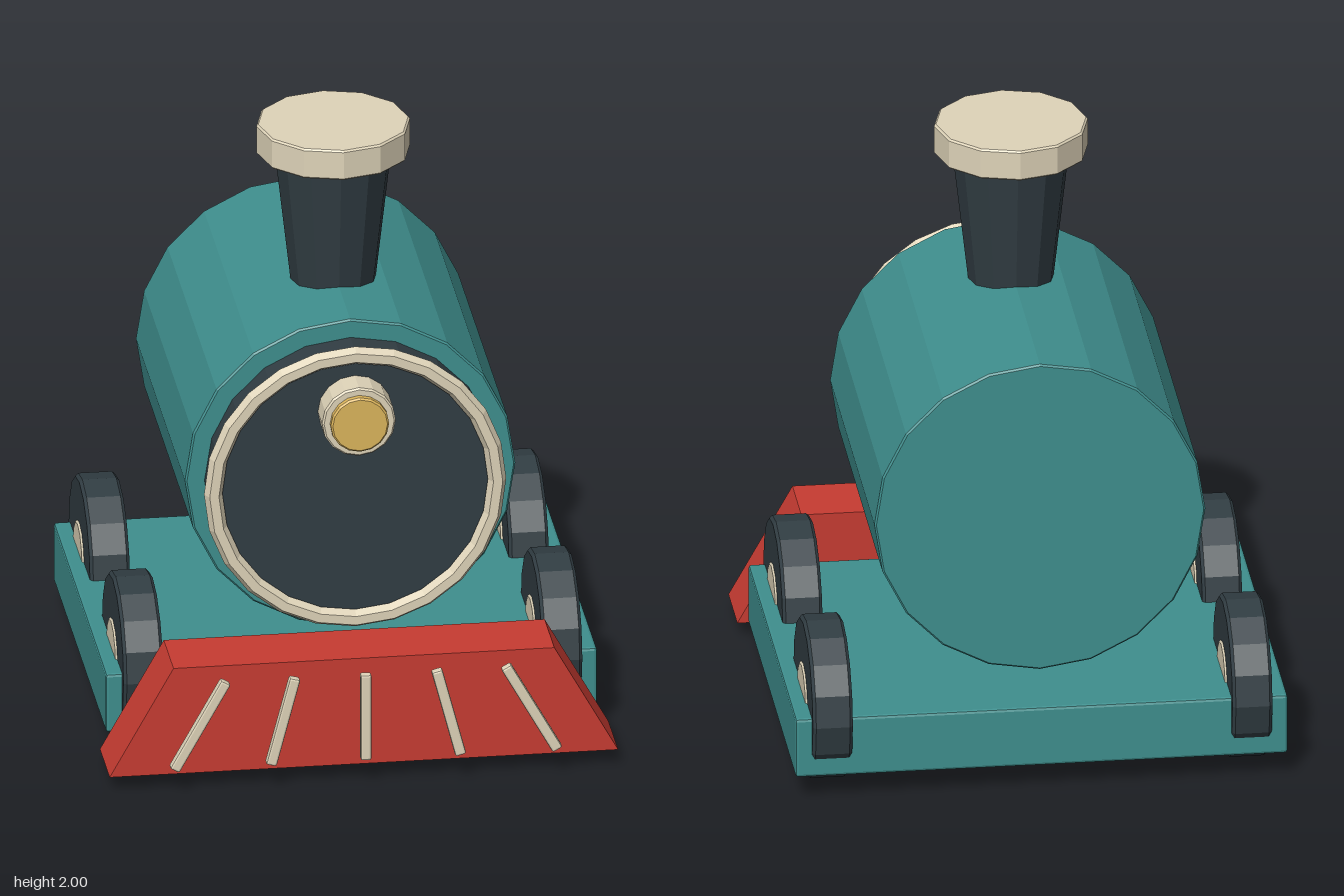
import * as THREE from 'three';
import { RoundedBoxGeometry } from 'three/addons/geometries/RoundedBoxGeometry.js';

const material = (color) => new THREE.MeshStandardMaterial({ color, flatShading: true });

// Faceted drum along y with chamfered rims, centred on its length
function drum(rBottom, rTop, length, sides, bevel = 0.006) {
  const h = length / 2;
  const profile = [
    [0, -h], [rBottom - bevel, -h], [rBottom, -h + bevel],
    [rTop, h - bevel], [rTop - bevel, h], [0, h],
  ].map(([x, y]) => new THREE.Vector2(x, y));
  return new THREE.LatheGeometry(profile, sides);
}

export function createModel() {
  const model = new THREE.Group();
  model.name = 'toyLocomotive';

  const teal = material(0x3f8f8e);
  const dark = material(0x313d43);
  const cream = material(0xdfd4b9);
  const gold = material(0xdcb55c);
  const red = material(0xc83c32);

  const add = (name, geometry, mat, x, y, z, parent = model) => {
    const mesh = new THREE.Mesh(geometry, mat);
    mesh.name = name;
    mesh.position.set(x, y, z);
    parent.add(mesh);
    return mesh;
  };

  // Drum lying along z between two depths
  const addAlongZ = (name, radius, z0, z1, sides, mat, y) =>
    add(name, drum(radius, radius, z1 - z0, sides).rotateX(Math.PI / 2), mat, 0, y, (z0 + z1) / 2);

  // Chassis
  add('chassis', new RoundedBoxGeometry(1.6, 0.205, 1.248, 1, 0.01), teal, 0, 0.183, -0.157);

  // Boiler and its front
  const boilerY = 0.937;
  addAlongZ('boiler', 0.538, -0.735, 0.436, 20, teal, boilerY);
  addAlongZ('smokebox', 0.475, 0.42, 0.54, 20, dark, boilerY);
  add('smokeboxRing', new THREE.TorusGeometry(0.462, 0.03, 6, 24), cream, 0, boilerY, 0.55);

  // Headlamp
  addAlongZ('lampHousing', 0.12, 0.52, 0.645, 16, cream, 1.203);
  addAlongZ('lampLens', 0.095, 0.62, 0.67, 16, gold, 1.203);

  // Chimney
  add('chimney', drum(0.133, 0.191, 0.52, 12), dark, 0, 1.65, 0.03);
  add('chimneyCap', drum(0.25, 0.25, 0.104, 12), cream, 0, 1.948, 0.03);

  // Wheels with hubs
  const tyre = drum(0.265, 0.265, 0.13, 16, 0.01).rotateZ(Math.PI / 2);
  const hub = drum(0.115, 0.115, 0.142, 12).rotateZ(Math.PI / 2);
  for (const [end, z] of [['front', 0.243], ['rear', -0.55]]) {
    for (const [side, x] of [['Left', 0.682], ['Right', -0.682]]) {
      const wheel = new THREE.Group();
      wheel.name = `${end}${side}Wheel`;
      wheel.position.set(x, 0.265, z);
      add('tyre', tyre, dark, 0, 0, 0, wheel);
      add('hub', hub, cream, 0, 0, 0, wheel);
      model.add(wheel);
    }
  }

  // Cowcatcher: a trapezoid plate
  const plate = new THREE.Shape([
    new THREE.Vector2(-0.828, 0.052), new THREE.Vector2(0.828, 0.052),
    new THREE.Vector2(0.62, 0.423), new THREE.Vector2(-0.62, 0.423),
  ]);
  add('cowcatcher', new THREE.ExtrudeGeometry(plate, { depth: 0.232, bevelEnabled: false }), red, 0, 0, 0.527);

  // Fanned bars standing just ahead of the cowcatcher
  for (let i = -2; i <= 2; i++) {
    const tilt = i * 0.255;
    const length = 0.3 / Math.cos(tilt);
    const bar = add('cowcatcherBar', new RoundedBoxGeometry(0.036, length, 0.032, 1, 0.007), cream,
      i * 0.27, 0.236, 0.8);
    bar.rotation.z = tilt;
  }

  return model;
}
